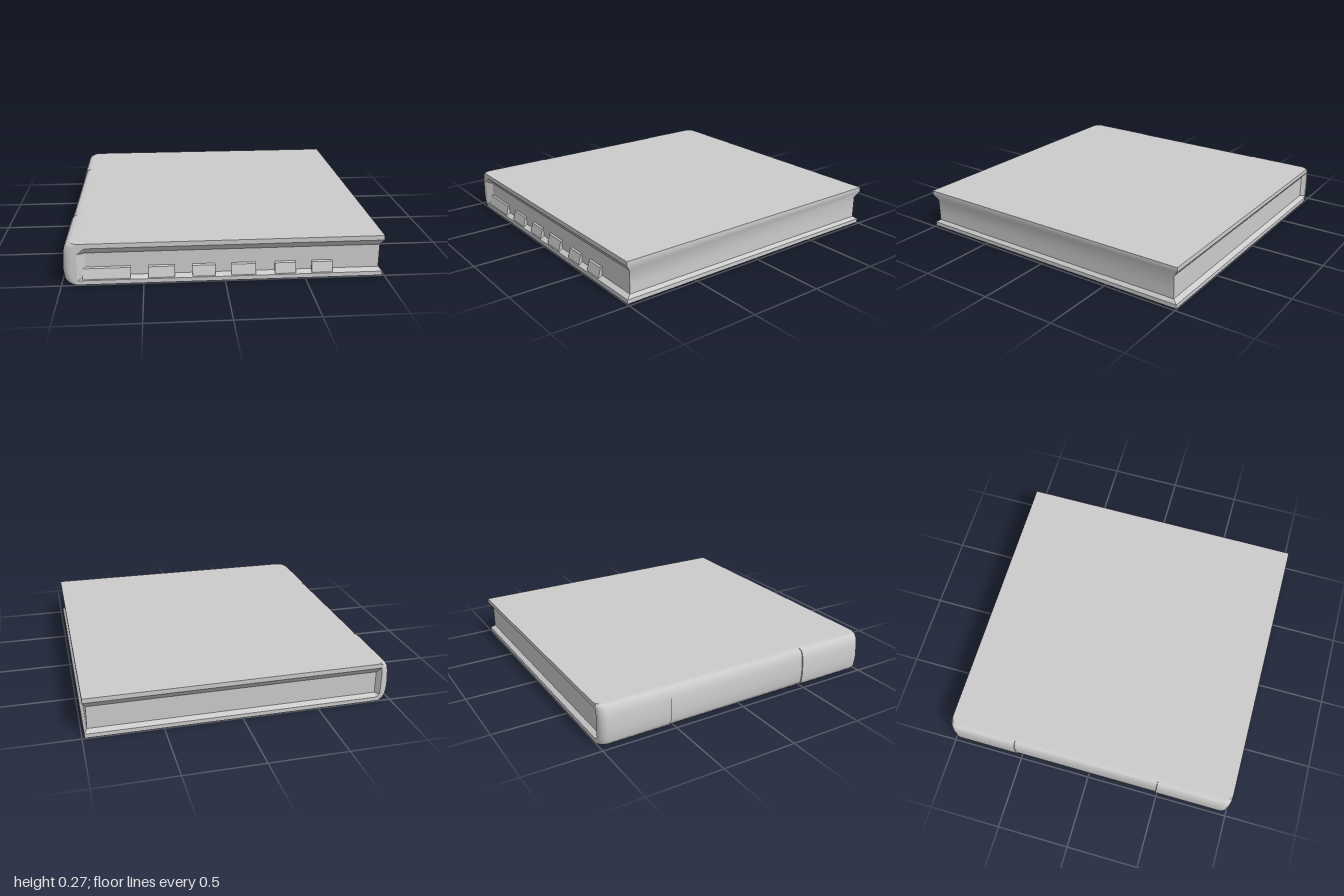
import * as THREE from 'three';
import { toCreasedNormals } from 'three/addons/utils/BufferGeometryUtils.js';

const material = new THREE.MeshStandardMaterial({ color: 0xcccccc });

// Plan outline at one height: groove inset on three sides, rounded spine on the left.
function outline(groove, spine) {
  const x1 = 0.985 - groove * 0.65, z1 = 1 - groove;
  const left = -0.99 + spine, r = 0.055;
  const pts = [[x1, z1], [-0.85, z1], [-0.9, 1]];
  const arc = (sign, reverse) => {
    for (let i = 0; i <= 6; i++) {
      const a = (reverse ? 6 - i : i) / 6 * Math.PI / 2;
      pts.push([left + r - r * Math.sin(a), sign * (1 - r + r * Math.cos(a))]);
    }
  };
  arc(1, false);
  // shallow recess along the middle of the spine
  pts.push([left, 0.49], [left + 0.006, 0.488], [left + 0.006, -0.528], [left, -0.53]);
  arc(-1, true);
  pts.push([-0.925, -1], [-0.9, -z1], [x1, -z1]);
  return pts;
}

// Stack the outlines into a closed solid.
function loft(levels) {
  const loops = levels.map(([, g, s]) => outline(g, s));
  const n = loops[0].length, pos = [], index = [];
  loops.forEach((loop, l) => loop.forEach(([x, z]) => pos.push(x, levels[l][0], z)));
  for (let l = 0; l < loops.length - 1; l++) {
    for (let k = 0; k < n; k++) {
      const a = l * n + k, b = l * n + (k + 1) % n, c = a + n, d = b + n;
      index.push(a, c, b, b, c, d);
    }
  }
  const cap = (l, up) => {
    const v = loops[l].map(([x, z]) => new THREE.Vector2(x, z));
    for (const [a, b, c] of THREE.ShapeUtils.triangulateShape(v, [])) {
      const area = THREE.ShapeUtils.area([v[a], v[b], v[c]]);
      const tri = (area < 0) === up ? [a, b, c] : [a, c, b];
      index.push(...tri.map(i => i + l * n));
    }
  };
  cap(0, false);
  cap(loops.length - 1, true);
  const geo = new THREE.BufferGeometry();
  geo.setAttribute('position', new THREE.Float32BufferAttribute(pos, 3));
  geo.setIndex(index);
  return toCreasedNormals(geo, 0.5);
}

export function createModel() {
  const group = new THREE.Group();
  const add = (name, geo) => {
    const mesh = new THREE.Mesh(geo, material);
    mesh.name = name;
    group.add(mesh);
    return mesh;
  };

  // Flat case: height, groove inset, spine inset
  add('caseBody', loft([
    [0.003, 0, 0.04], [0.012, 0, 0.025], [0.03, 0, 0.01], [0.05, 0.03, 0.006],
    [0.1, 0.03, 0], [0.2, 0.03, 0.006], [0.24, 0, 0.015], [0.258, 0, 0.027], [0.27, 0, 0.05],
  ]));

  // Thin base plate under the case
  const base = add('basePlate', new THREE.BoxGeometry(1.84, 0.006, 1.9));
  base.position.set(0.01, 0.003, 0);

  // Row of sloped tabs along the front groove
  const section = new THREE.Shape([
    [0.96, 0.025], [0.995, 0.025], [0.995, 0.042], [0.98, 0.1], [0.96, 0.115],
  ].map(p => new THREE.Vector2(...p)));
  const tabs = [[-0.87, -0.58], [-0.47, -0.31], [-0.2, -0.06], [0.04, 0.19], [0.31, 0.44], [0.54, 0.67]];
  for (const [x0, x1] of tabs) {
    const geo = new THREE.ExtrudeGeometry(section, { depth: x1 - x0, bevelEnabled: false });
    geo.rotateY(-Math.PI / 2);
    add('frontTab', geo).position.x = x1;
  }
  return group;
}
